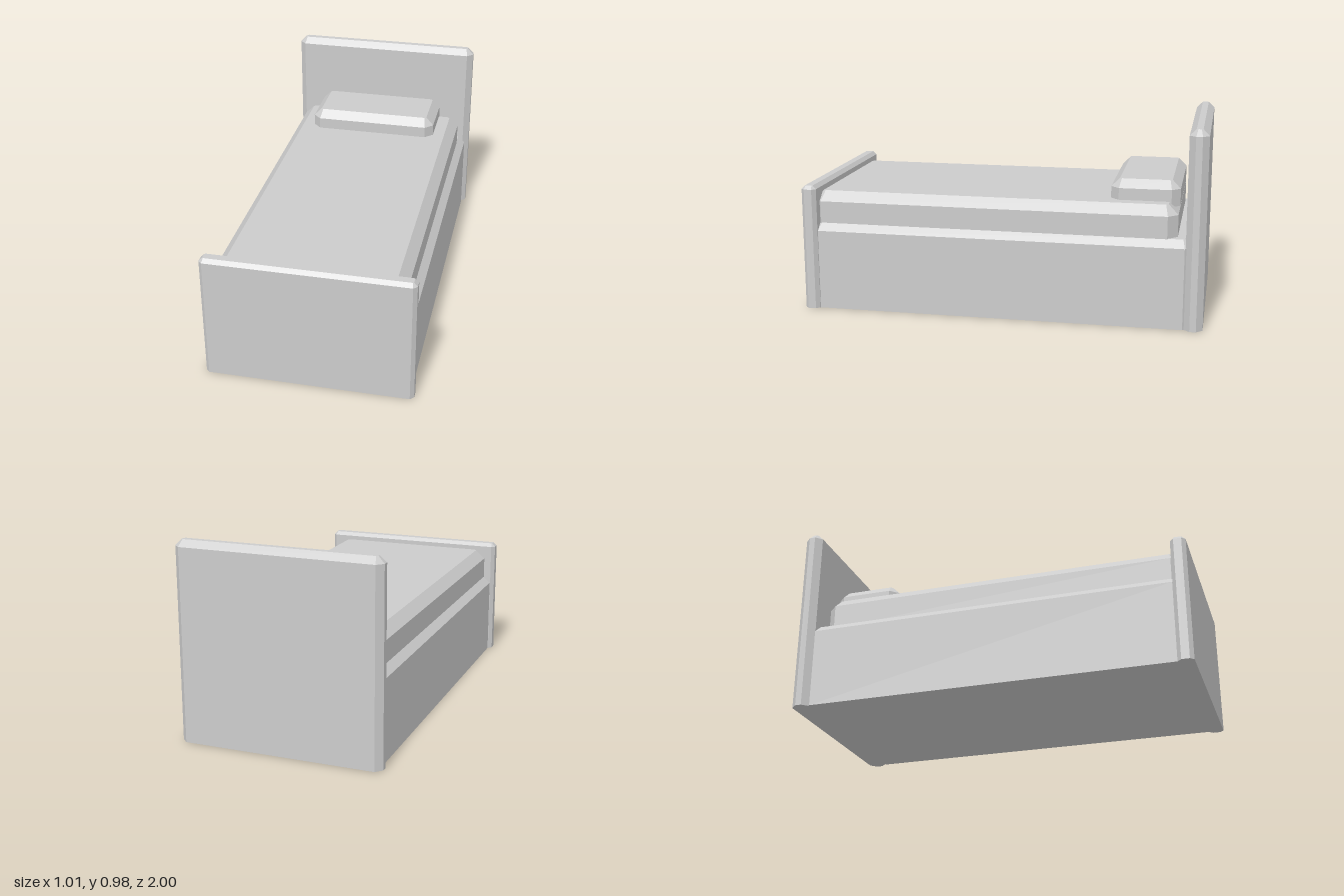
import * as THREE from 'three';

// Rectangle outline with its four corners cut off
function cutRectangle(x0, x1, z0, z1, c) {
  return [
    [x1 - c, z1], [x1, z1 - c], [x1, z0 + c], [x1 - c, z0],
    [x0 + c, z0], [x0, z0 + c], [x0, z1 - c], [x0 + c, z1],
  ];
}

// Block with cut vertical corners and a bevelled top edge
function bevelledBlock(halfWidth, z0, z1, y0, y1, bevel) {
  const b = bevel;
  const outer = cutRectangle(-halfWidth, halfWidth, z0, z1, b);
  const inner = cutRectangle(-halfWidth + b, halfWidth - b, z0 + b, z1 - b, b * 0.25);
  const rings = [[outer, y0], [outer, y1 - b], [inner, y1]]
    .map(([pts, y]) => pts.map(([x, z]) => [x, y, z]));
  const pos = [];
  // Side walls and bevel
  for (let r = 0; r < 2; r++) {
    for (let i = 0; i < 8; i++) {
      const j = (i + 1) % 8;
      const a = rings[r][i], d = rings[r][j], e = rings[r + 1][j], f = rings[r + 1][i];
      pos.push(...a, ...d, ...e, ...a, ...e, ...f);
    }
  }
  // Flat top and bottom
  for (let i = 1; i < 7; i++) {
    pos.push(...rings[2][0], ...rings[2][i], ...rings[2][i + 1]);
    pos.push(...rings[0][0], ...rings[0][i + 1], ...rings[0][i]);
  }
  const geo = new THREE.BufferGeometry();
  geo.setAttribute('position', new THREE.Float32BufferAttribute(pos, 3));
  geo.computeVertexNormals();
  return geo;
}

export function createModel() {
  const bed = new THREE.Group();
  bed.name = 'bed';
  const paleGrey = new THREE.MeshStandardMaterial({ color: 0xcccccc });
  paleGrey.name = 'pale grey';

  // name, half width, back z, front z, bottom y, top y, bevel
  const parts = [
    ['headboard', 0.505, -1, -0.907, 0, 0.976, 0.031],
    ['footboard', 0.505, 0.925, 1, 0, 0.635, 0.018],
    ['bedFrame', 0.485, -0.94, 0.96, 0, 0.44, 0.037],
    ['mattress', 0.45, -0.865, 0.965, 0.42, 0.596, 0.048],
    ['pillow', 0.34, -0.868, -0.53, 0.57, 0.695, 0.041],
  ];
  for (const [name, ...size] of parts) {
    const mesh = new THREE.Mesh(bevelledBlock(...size), paleGrey);
    mesh.name = name;
    bed.add(mesh);
  }
  return bed;
}
